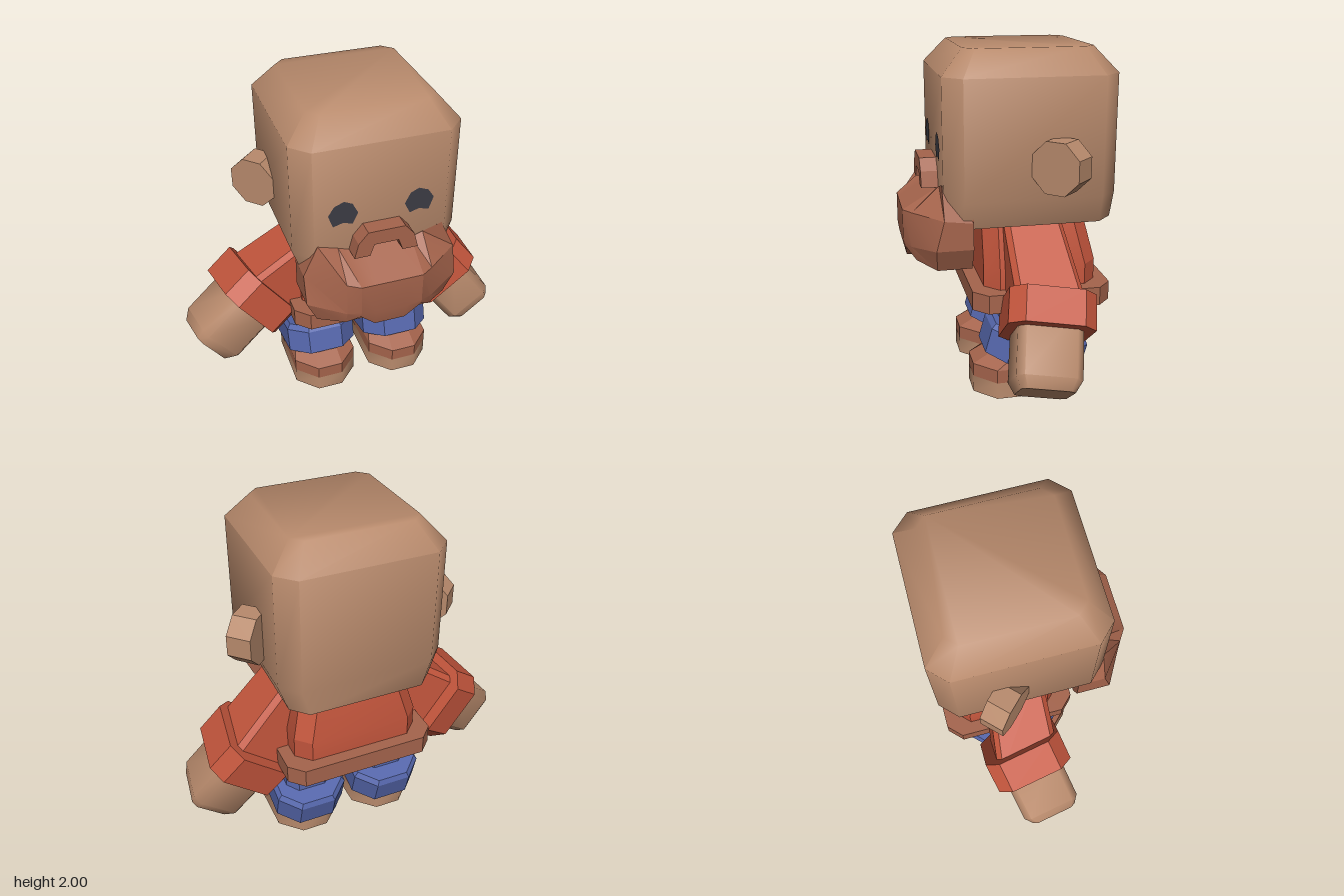
import * as THREE from 'three';
import { toCreasedNormals } from 'three/addons/utils/BufferGeometryUtils.js';

const mat = (name, color, side = THREE.FrontSide) => {
  const m = new THREE.MeshStandardMaterial({ color, side });
  m.name = name;
  return m;
};

// Closed skin over a list of rings, with flat caps on both ends
function skin(rings, crease) {
  const n = rings[0].length, idx = [];
  const last = rings.length - 1;
  for (let i = 0; i < last; i++) {
    for (let j = 0; j < n; j++) {
      const k = (j + 1) % n;
      const a = i * n + j, b = i * n + k, c = a + n, d = b + n;
      idx.push(a, c, b, b, c, d);
    }
  }
  for (let j = 1; j < n - 1; j++) {
    idx.push(0, j, j + 1);
    idx.push(last * n, last * n + j + 1, last * n + j);
  }
  const g = new THREE.BufferGeometry();
  g.setAttribute('position', new THREE.Float32BufferAttribute(rings.flat(2), 3));
  g.setIndex(idx);
  return toCreasedNormals(g, crease);
}

// Stack of chamfered rectangles; level = [y, halfX, halfZ, centreZ, chamfer]
function loft(levels, crease = 0.3) {
  return skin(levels.map(([y, hx, hz, cz, c]) => [
    [hx, y, cz - hz + c], [hx, y, cz + hz - c],
    [hx - c, y, cz + hz], [-hx + c, y, cz + hz],
    [-hx, y, cz + hz - c], [-hx, y, cz - hz + c],
    [-hx + c, y, cz - hz], [hx - c, y, cz - hz],
  ]), crease);
}

export function createModel() {
  const skinMat = mat('skin', 0xb88a6c);
  const red = mat('red cloth', 0xc2553c);
  const brown = mat('brown hair and leather', 0xa5644c);
  const blue = mat('blue cloth', 0x5566ab);
  const dark = mat('dark features', 0x3c3c44, THREE.DoubleSide);

  const model = new THREE.Group();
  const figure = new THREE.Group();
  figure.name = 'figure';
  figure.position.x = 0.063;
  model.add(figure);

  const add = (name, geo, material, parent = figure) => {
    const m = new THREE.Mesh(geo, material);
    m.name = name;
    parent.add(m);
    return m;
  };

  // Head: soft box with chamfered corners
  add('head', loft([
    [1.04, 0.425, 0.475, -0.105, 0.09],
    [1.2, 0.482, 0.483, -0.103, 0.1],
    [1.86, 0.482, 0.483, -0.103, 0.1],
    [2.0, 0.36, 0.36, -0.103, 0.06],
  ], 0.95), skinMat);

  // Torso and hem
  add('shirt', loft([
    [0.6, 0.38, 0.328, -0.183, 0.08],
    [0.77, 0.38, 0.328, -0.183, 0.08],
    [1.08, 0.3, 0.293, -0.148, 0.08],
  ]), red);
  add('hem', loft([
    [0.54, 0.452, 0.403, -0.18, 0.08],
    [0.65, 0.452, 0.403, -0.18, 0.08],
  ]), brown);

  // Beard: ribs from left to right, each running from the top edge round to the back
  const ribs = [
    [[0.45, 1.1, 0.225], [0.45, 1.08, 0.225], [0.45, 0.93, 0.225], [0.39, 0.8, 0.225]],
    [[0.365, 1.28, 0.385], [0.45, 1.1, 0.385], [0.45, 0.93, 0.43], [0.39, 0.8, 0.42]],
    [[0.25, 1.245, 0.385], [0.25, 1.1, 0.54], [0.25, 0.9, 0.545], [0.25, 0.82, 0.52]],
    [[0.18, 1.22, 0.385], [0.18, 1.1, 0.585], [0.18, 0.92, 0.585], [0.18, 0.885, 0.575]],
    [[0.09, 1.22, 0.385], [0.09, 1.1, 0.585], [0.09, 0.9, 0.585], [0.09, 0.8, 0.56]],
  ].map((r) => [...r, [r[3][0], r[3][1], 0.225], [r[0][0], 1.1, 0.225]]);
  const mirrored = ribs.map((r) => r.map(([x, y, z]) => [-x, y, z])).reverse();
  add('beard', skin([...ribs, ...mirrored], 0.3), brown);

  // Moustache arch with the mouth behind it
  const arch = new THREE.Shape([
    [-0.185, 1.22], [-0.162, 1.31], [-0.107, 1.375], [0.107, 1.375],
    [0.162, 1.31], [0.185, 1.22], [0.095, 1.22], [0.07, 1.29],
    [-0.07, 1.29], [-0.095, 1.22],
  ].map(([x, y]) => new THREE.Vector2(x, y)));
  const moustache = new THREE.ExtrudeGeometry(arch, { depth: 0.1, bevelEnabled: false });
  add('moustache', moustache, brown).position.z = 0.375;
  const mouth = new THREE.Shape([[-0.1, 1.21], [0.1, 1.21], [0.075, 1.295], [-0.075, 1.295]]
    .map(([x, y]) => new THREE.Vector2(x, y)));
  add('mouth', new THREE.ShapeGeometry(mouth), dark).position.z = 0.386;

  for (const s of [1, -1]) {
    const side = s > 0 ? 'left' : 'right';

    // Eye plate with a notched lower edge
    const eye = new THREE.Shape([
      [-0.085, -0.01], [-0.053, 0.053], [-0.005, 0.075], [0.05, 0.053],
      [0.085, 0.0], [0.058, -0.075], [0, -0.058], [-0.053, -0.075],
    ].map(([x, y]) => new THREE.Vector2(s * x, y)));
    add(side + 'Eye', new THREE.ShapeGeometry(eye), dark).position.set(s * 0.219, 1.465, 0.385);

    // Ear: octagonal plate turned outward
    const earGeo = new THREE.CylinderGeometry(0.154, 0.154, 0.14, 8);
    earGeo.rotateY(Math.PI / 8).rotateX(Math.PI / 2);
    const ear = add(side + 'Ear', toCreasedNormals(earGeo, 0.3), skinMat);
    ear.position.set(s * 0.531, 1.393, -0.233);
    ear.rotation.y = s * Math.PI / 4;

    // Leg: trouser, tilted cuff, shoe and sole
    const leg = new THREE.Group();
    leg.name = side + 'Leg';
    leg.position.x = s * 0.252;
    figure.add(leg);
    add('trouser', loft([
      [0.25, 0.145, 0.21, -0.16, 0.06], [0.42, 0.14, 0.2, -0.16, 0.06],
      [0.58, 0.12, 0.18, -0.16, 0.05],
    ]), blue, leg);
    const cuff = add('trouserCuff', loft([
      [-0.09, 0.217, 0.3, 0, 0.11], [0.06, 0.217, 0.3, 0, 0.11],
      [0.09, 0.195, 0.28, 0, 0.1],
    ]), blue, leg);
    cuff.position.set(0, 0.268, -0.165);
    cuff.rotation.x = -0.27;
    add('shoe', loft([
      [0.1, 0.198, 0.31, -0.095, 0.12], [0.18, 0.198, 0.31, -0.095, 0.12],
      [0.25, 0.17, 0.2, -0.11, 0.1],
    ]), brown, leg);
    add('sole', loft([
      [0, 0.198, 0.31, -0.095, 0.12], [0.1, 0.198, 0.31, -0.095, 0.12],
    ], 0.9), skinMat, leg);

    // Arm: each part hangs along -y and is turned to its direction
    const arm = new THREE.Group();
    arm.name = side + 'Arm';
    figure.add(arm);
    const shoulder = new THREE.Vector3(s * 0.27, 0.92, -0.13);
    const wrist = s > 0 ? new THREE.Vector3(0.577, 0.56, -0.155)
      : new THREE.Vector3(-0.643, 0.63, -0.155);
    const reach = s > 0 ? new THREE.Vector3(0.61, -0.77, 0.18)
      : new THREE.Vector3(-0.79, -0.58, 0.2);
    const aim = (mesh, at, dir) => {
      const y = dir.clone().normalize().negate();
      const x = y.clone().cross(new THREE.Vector3(0, 0, 1)).normalize();
      const z = x.clone().cross(y);
      mesh.quaternion.setFromRotationMatrix(new THREE.Matrix4().makeBasis(x, y, z));
      mesh.position.copy(at);
    };
    const along = wrist.clone().sub(shoulder);
    aim(add('sleeve', loft([
      [-along.length(), 0.19, 0.19, 0, 0.03], [0.06, 0.15, 0.165, 0, 0.03],
    ]), red, arm), shoulder, along);
    aim(add('sleeveCuff', loft([
      [-0.1, 0.24, 0.24, 0, 0.08], [0.1, 0.24, 0.24, 0, 0.08],
    ]), red, arm), wrist, reach);
    aim(add('hand', loft([
      [-0.425, 0.13, 0.145, 0, 0.03], [-0.36, 0.165, 0.18, 0, 0.04],
      [0, 0.165, 0.18, 0, 0.04],
    ], 0.9), skinMat, arm), wrist, reach);
  }
  return model;
}
